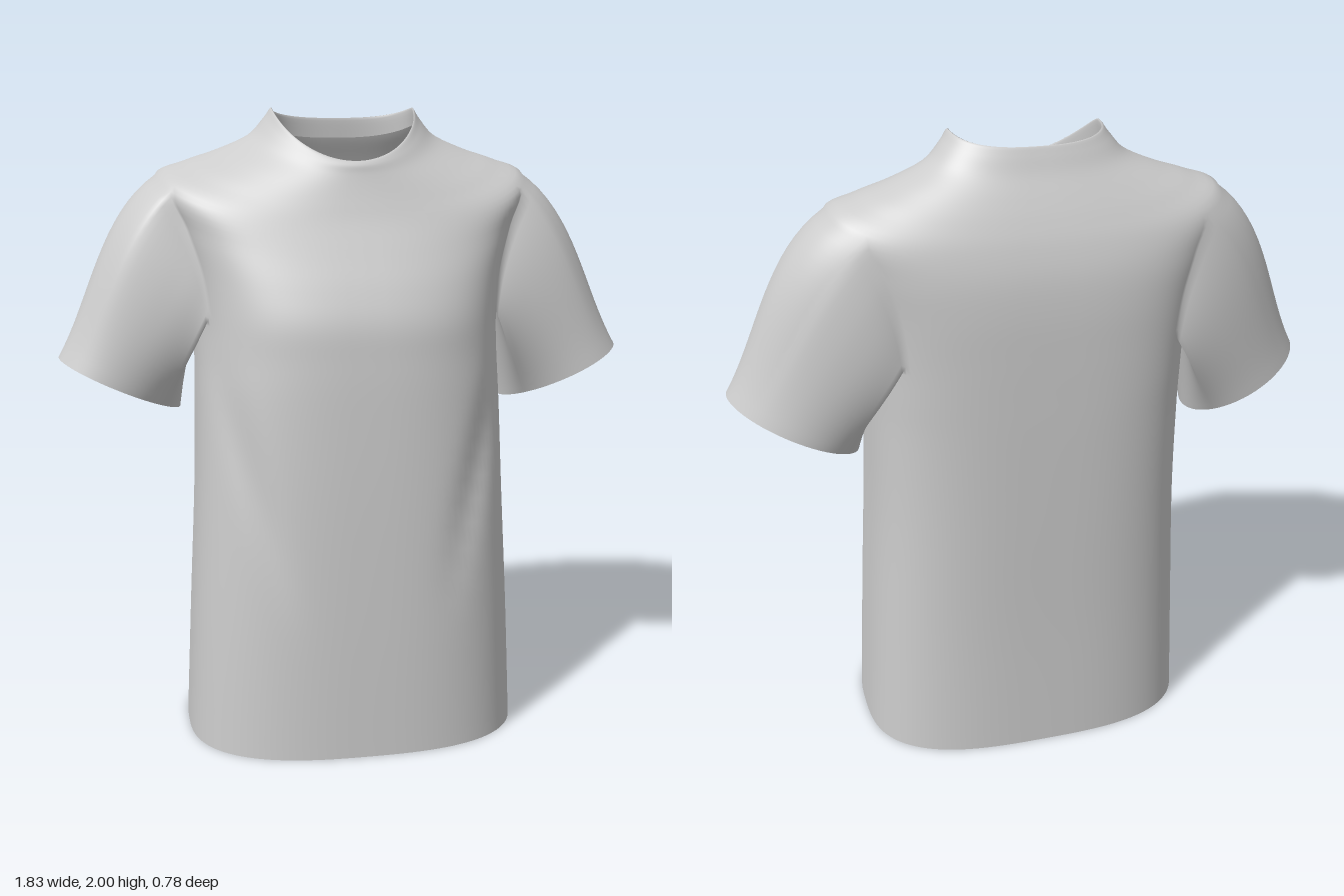
import * as THREE from 'three';

const COLS = 120, SUB = 5, SLEEVE_ROWS = 16;
const FRONT = 8, BACK = 13;            // armhole columns before and behind the side seam
const ROW0 = 5 * SUB, ROW1 = 8 * SUB;  // armhole rows: armpit to shoulder tip

// body sections: side x, y, z | front y, z | back y, z | front and back roundness
const SECTIONS = [
  [0.54, 0, 0, 0, 0.39, 0, -0.37, 0.74, 0.68],
  [0.52, 0.4, 0, 0.4, 0.385, 0.4, -0.372, 0.74, 0.66],
  [0.498, 0.8, -0.01, 0.8, 0.375, 0.8, -0.38, 0.74, 0.64],
  [0.488, 1.1, -0.04, 1.1, 0.362, 1.1, -0.385, 0.74, 0.62],
  [0.484, 1.25, -0.07, 1.25, 0.352, 1.25, -0.386, 0.74, 0.6],
  [0.485, 1.37, -0.1, 1.36, 0.34, 1.37, -0.386, 0.72, 0.6],
  [0.505, 1.52, -0.11, 1.46, 0.306, 1.5, -0.384, 0.72, 0.6],
  [0.55, 1.67, -0.12, 1.56, 0.26, 1.61, -0.374, 0.74, 0.62],
  [0.595, 1.79, -0.12, 1.65, 0.218, 1.7, -0.352, 0.78, 0.66],
  [0.5, 1.835, -0.12, 1.71, 0.195, 1.77, -0.325, 0.82, 0.68],
  [0.4, 1.868, -0.12, 1.76, 0.178, 1.83, -0.297, 0.86, 0.7],
  [0.3, 1.912, -0.11, 1.8, 0.166, 1.89, -0.267, 0.92, 0.72],
  [0.25, 1.965, -0.1, 1.825, 0.16, 1.94, -0.247, 0.98, 0.74],
  [0.226, 1.996, -0.09, 1.836, 0.147, 1.962, -0.235, 1, 0.75],
  [0.23, 1.94, -0.09, 1.79, 0.145, 1.9, -0.24, 1, 0.75],
];

const spow = (v, e) => Math.sign(v) * Math.abs(v) ** e;

// smooth interpolation between sections
function sectionAt(t) {
  const n = SECTIONS.length - 1, i = Math.min(Math.floor(t), n - 1), f = t - i;
  const [a, b, c, d] = [-1, 0, 1, 2].map(k => SECTIONS[Math.min(n, Math.max(0, i + k))]);
  return b.map((v, k) => v + 0.5 * f * (c[k] - a[k]
    + f * (2 * a[k] - 5 * v + 4 * c[k] - d[k] + f * (3 * (v - c[k]) + d[k] - a[k]))));
}

function bodyPoint(row, col) {
  const [w, sy, sz, fy, fz, by, bz, ef, eb] = sectionAt(row / SUB);
  const a = col / COLS * Math.PI * 2, c = Math.cos(a), s = Math.sin(a), front = s > 0;
  const e = front ? ef : eb, reach = Math.abs(s) ** e;
  const p = new THREE.Vector3(w * spow(c, e),
    sy + ((front ? fy : by) - sy) * Math.abs(s) ** 1.3,
    sz + ((front ? fz : bz) - sz) * reach);
  // soft drape folds running down from the armpits
  if (front && p.y > 0.4 && p.y < 1.4) {
    const fold = 0.28 + 0.2 * (p.y - 0.6) / 0.8;
    p.z -= 0.02 * Math.sin((p.y - 0.4) * Math.PI) ** 2
      * Math.exp(-(((Math.abs(p.x) - fold) / 0.05) ** 2));
  }
  return p;
}

export function createModel() {
  const positions = [];
  const add = p => positions.push(p.x, p.y, p.z) / 3 - 1;
  const quad = (list, a, b, c, d) => list.push(a, b, c, a, c, d);

  // body surface with two open armholes
  const rows = (SECTIONS.length - 1) * SUB, body = [], collar = [];
  for (let i = 0; i <= rows; i++)
    for (let j = 0; j < COLS; j++) add(bodyPoint(i, j));
  const id = (i, j) => i * COLS + (j + COLS) % COLS;
  for (let i = 0; i < rows; i++) {
    for (let j = -COLS / 4; j < COLS * 3 / 4; j++) {
      const hole = i >= ROW0 && i < ROW1 && ((j >= -BACK && j < FRONT)
        || (j >= COLS / 2 - FRONT && j < COLS / 2 + BACK));
      if (hole) continue;
      quad(i >= 11 * SUB ? collar : body, id(i, j), id(i + 1, j), id(i + 1, j + 1), id(i, j + 1));
    }
  }

  // armhole edge: bottom, back, top, front; theta is 0 at the bottom
  const edge = [];
  const span = FRONT + BACK, rise = ROW1 - ROW0;
  const side = (q, n, at) => {
    for (let k = 0; k < n; k++) edge.push([...at(k), (q + k / n - 0.5) * Math.PI / 2]);
  };
  side(0, span, k => [ROW0, FRONT - k]);
  side(1, rise, k => [ROW0 + k, -BACK]);
  side(2, span, k => [ROW1, -BACK + k]);
  side(3, rise, k => [ROW1 - k, FRONT]);

  // sleeve swept from the armhole edge to its tilted oval opening
  function sleeve(sign) {
    const list = [], rings = [];
    for (let r = 0; r <= SLEEVE_ROWS; r++) {
      const t = r / SLEEVE_ROWS;
      rings.push(edge.map(([i, j, th]) => {
        if (r === 0) return id(i, sign > 0 ? j : COLS / 2 - j);
        const start = bodyPoint(i, j), up = -Math.cos(th);
        const end = new THREE.Vector3(0.725 + 0.19 * up, 1.14 + 0.09 * up,
          -0.085 + 0.03 * up - 0.183 * Math.sin(th));
        const bulge = t * (1 - t) ** 2, top = Math.max(0, up);
        const p = start.lerp(end, t);
        p.x += bulge * 0.22 * top;
        p.y += bulge * 0.2 * top;
        p.z -= bulge * 0.12 * Math.sin(th);
        p.x *= sign;
        return add(p);
      }));
    }
    for (let r = 0; r < SLEEVE_ROWS; r++) {
      edge.forEach((_, k) => {
        const n = (k + 1) % edge.length;
        const q = [rings[r][k], rings[r][n], rings[r + 1][n], rings[r + 1][k]];
        quad(list, ...(sign > 0 ? q : q.reverse()));
      });
    }
    return list;
  }
  const parts = { body, collar, leftSleeve: sleeve(1), rightSleeve: sleeve(-1) };

  // shared normals keep the seams between parts smooth
  const whole = new THREE.BufferGeometry();
  whole.setAttribute('position', new THREE.Float32BufferAttribute(positions, 3));
  whole.setIndex(Object.values(parts).flat());
  whole.computeVertexNormals();

  const fabric = new THREE.MeshStandardMaterial({ color: 0xcccccc, side: THREE.DoubleSide });
  fabric.name = 'light grey fabric';
  const group = new THREE.Group();
  group.name = 'tShirt';
  for (const [name, index] of Object.entries(parts)) {
    const geometry = new THREE.BufferGeometry();
    geometry.setAttribute('position', whole.attributes.position);
    geometry.setAttribute('normal', whole.attributes.normal);
    geometry.setIndex(index);
    const mesh = new THREE.Mesh(geometry, fabric);
    mesh.name = name;
    group.add(mesh);
  }
  return group;
}
